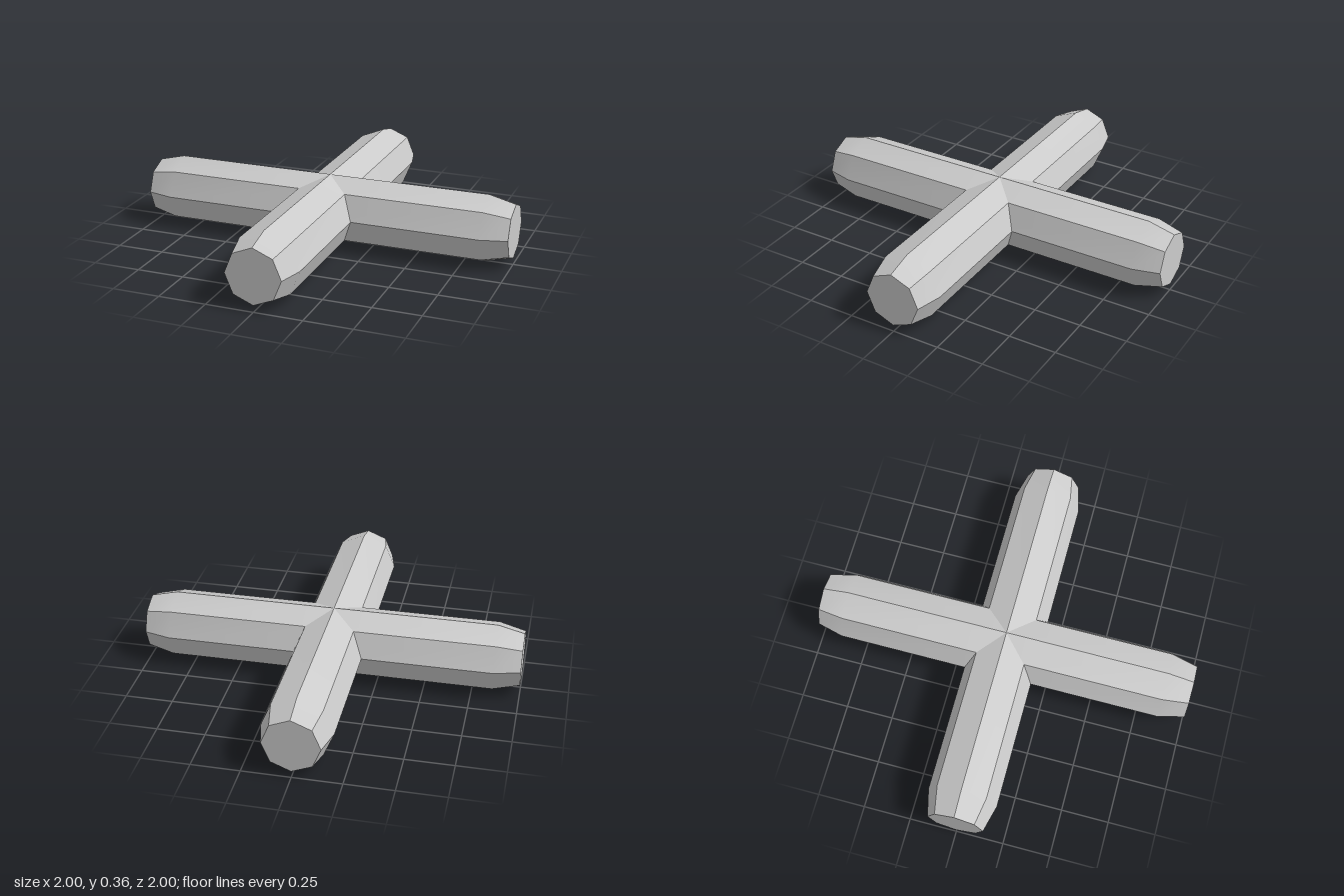
import * as THREE from 'three';
import { toCreasedNormals } from 'three/addons/utils/BufferGeometryUtils.js';

const RADIUS = 0.181, TIP_RADIUS = 0.146, HALF = 1, TAPER_START = 0.86;

// Octagonal bar along y with tapered ends; a ridge runs along its top and bottom
function barGeometry() {
  const profile = [
    [0, -HALF], [TIP_RADIUS, -HALF], [RADIUS, -TAPER_START], [RADIUS, 0],
    [RADIUS, TAPER_START], [TIP_RADIUS, HALF], [0, HALF],
  ].map(([r, y]) => new THREE.Vector2(r, y));
  // Smooth along the length, sharp between the eight sides
  return toCreasedNormals(new THREE.LatheGeometry(profile, 8), Math.PI / 6);
}

export function createModel() {
  const model = new THREE.Group();
  model.name = 'crossedBars';
  const material = new THREE.MeshStandardMaterial({ color: 0xcccccc });

  // Two equal bars crossing at the centre, which meet in mitred seams
  const sideBar = new THREE.Mesh(barGeometry().rotateZ(Math.PI / 2), material);
  sideBar.name = 'sideToSideBar';
  const depthBar = new THREE.Mesh(barGeometry().rotateX(Math.PI / 2), material);
  depthBar.name = 'frontToBackBar';

  for (const bar of [sideBar, depthBar]) {
    bar.position.y = RADIUS;
    model.add(bar);
  }
  return model;
}
